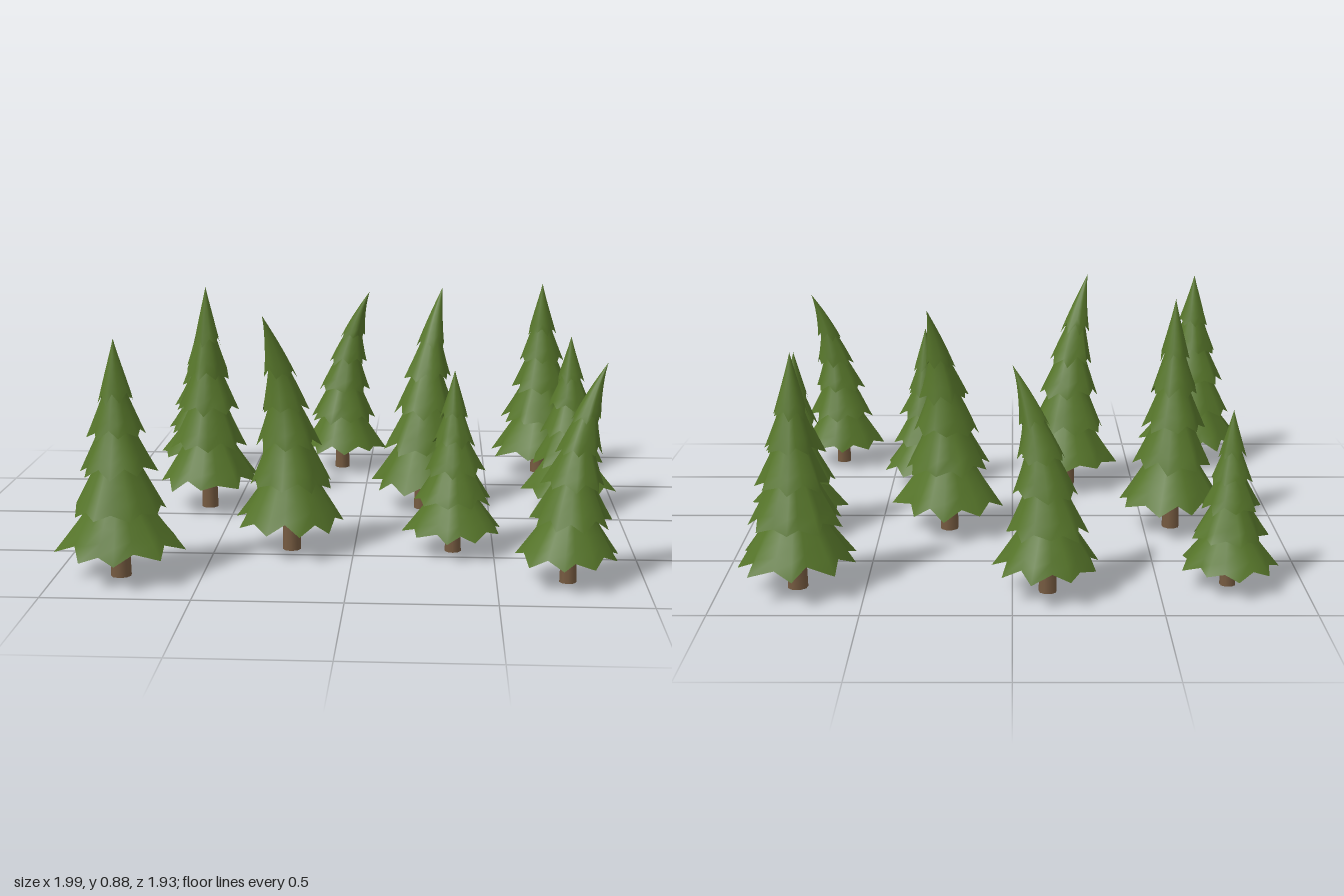
import * as THREE from 'three';

const foliageMat = new THREE.MeshStandardMaterial({ color: 0x56752a, side: THREE.DoubleSide });
const trunkMat = new THREE.MeshStandardMaterial({ color: 0x755a40 });

// x, z, height, skirt radius, lean of the tip in x and z
const TREES = [
  [-0.74, -0.72, 0.62, 0.17, 0, 0],
  [-0.12, -0.785, 0.78, 0.19, 0.12, 0.04],
  [0.735, -0.745, 0.82, 0.215, 0, 0.01],
  [-0.605, -0.12, 0.88, 0.2, 0, 0.015],
  [0.24, -0.14, 0.865, 0.21, 0.07, -0.11],
  [0.81, -0.155, 0.69, 0.19, 0, 0],
  [-0.225, 0.425, 0.865, 0.205, -0.085, 0.11],
  [0.355, 0.42, 0.66, 0.18, 0, 0],
  [-0.778, 0.755, 0.82, 0.22, 0, 0.01],
  [0.74, 0.745, 0.745, 0.18, 0.115, -0.035],
];

// Tiers of branches: rim height, rim radius (fractions), number of points
const TIERS = [[0.125, 1, 9], [0.29, 0.78, 9], [0.455, 0.61, 8], [0.605, 0.45, 8], [0.75, 0.29, 7]];

function seeded(seed) {
  let s = seed * 7919 + 17;
  return () => (s = (s * 16807) % 2147483647) / 2147483647;
}

// Hollow skirt with a pointed, folded rim; bend shifts it along the curved tree axis
function tierGeometry(i, h, r, bend, rand) {
  const [rimY, rimR, points] = TIERS[i];
  const next = TIERS[i + 1];
  const topY = next ? next[0] + 0.07 : 1;
  const topR = next ? next[1] * 0.42 : 0;
  const sides = points * 2, rows = next ? 4 : 7;
  const turn = rand() * Math.PI * 2;
  const rim = Array.from({ length: sides }, (_, k) => ({
    angle: turn + ((k + (rand() - 0.5) * 0.4) / sides) * Math.PI * 2,
    reach: (k % 2 ? 0.81 : 0.97) + (rand() - 0.5) * 0.12,
    drop: (k % 2 ? 0.022 : -0.008) + (rand() - 0.5) * 0.022,
  }));
  const pos = [], index = [];
  for (let j = 0; j <= rows; j++) {
    const s = j / rows; // 0 at the top, 1 at the rim
    for (const p of rim) {
      const fold = 1 + (p.reach - 1) * s;
      const rad = (topR + (rimR - topR) * Math.pow(s, 1.1)) * fold * r;
      const y = (topY + (rimY - topY) * s + p.drop * s * s) * h;
      const [bx, bz] = bend(y);
      pos.push(Math.cos(p.angle) * rad + bx, y, Math.sin(p.angle) * rad + bz);
    }
  }
  for (let j = 0; j < rows; j++) {
    for (let k = 0; k < sides; k++) {
      const a = j * sides + k, b = j * sides + ((k + 1) % sides);
      const c = a + sides, d = b + sides;
      index.push(a, d, c);
      if (j > 0 || next) index.push(a, b, d);
    }
  }
  const g = new THREE.BufferGeometry();
  g.setAttribute('position', new THREE.Float32BufferAttribute(pos, 3));
  g.setIndex(index);
  g.computeVertexNormals();
  return g;
}

function makeTree([x, z, h, r, leanX, leanZ], n) {
  const rand = seeded(n + 1);
  const tree = new THREE.Group();
  tree.name = 'tree' + (n + 1);
  tree.position.set(x, 0, z);
  const bend = (y) => {
    const t = Math.pow(y / h, 3.3);
    return [leanX * t, leanZ * t];
  };

  // Trunk, reaching up inside the lower tiers
  const trunkH = h * 0.5;
  const trunk = new THREE.Mesh(new THREE.CylinderGeometry(r * 0.11, r * 0.165, trunkH, 9), trunkMat);
  trunk.name = 'trunk';
  trunk.position.y = trunkH / 2;
  tree.add(trunk);

  // Foliage tiers
  TIERS.forEach((_, i) => {
    const tier = new THREE.Mesh(tierGeometry(i, h, r, bend, rand), foliageMat);
    tier.name = 'foliageTier' + (i + 1);
    tree.add(tier);
  });
  return tree;
}

export function createModel() {
  const grove = new THREE.Group();
  grove.name = 'pineGrove';
  TREES.forEach((t, n) => grove.add(makeTree(t, n)));
  return grove;
}
